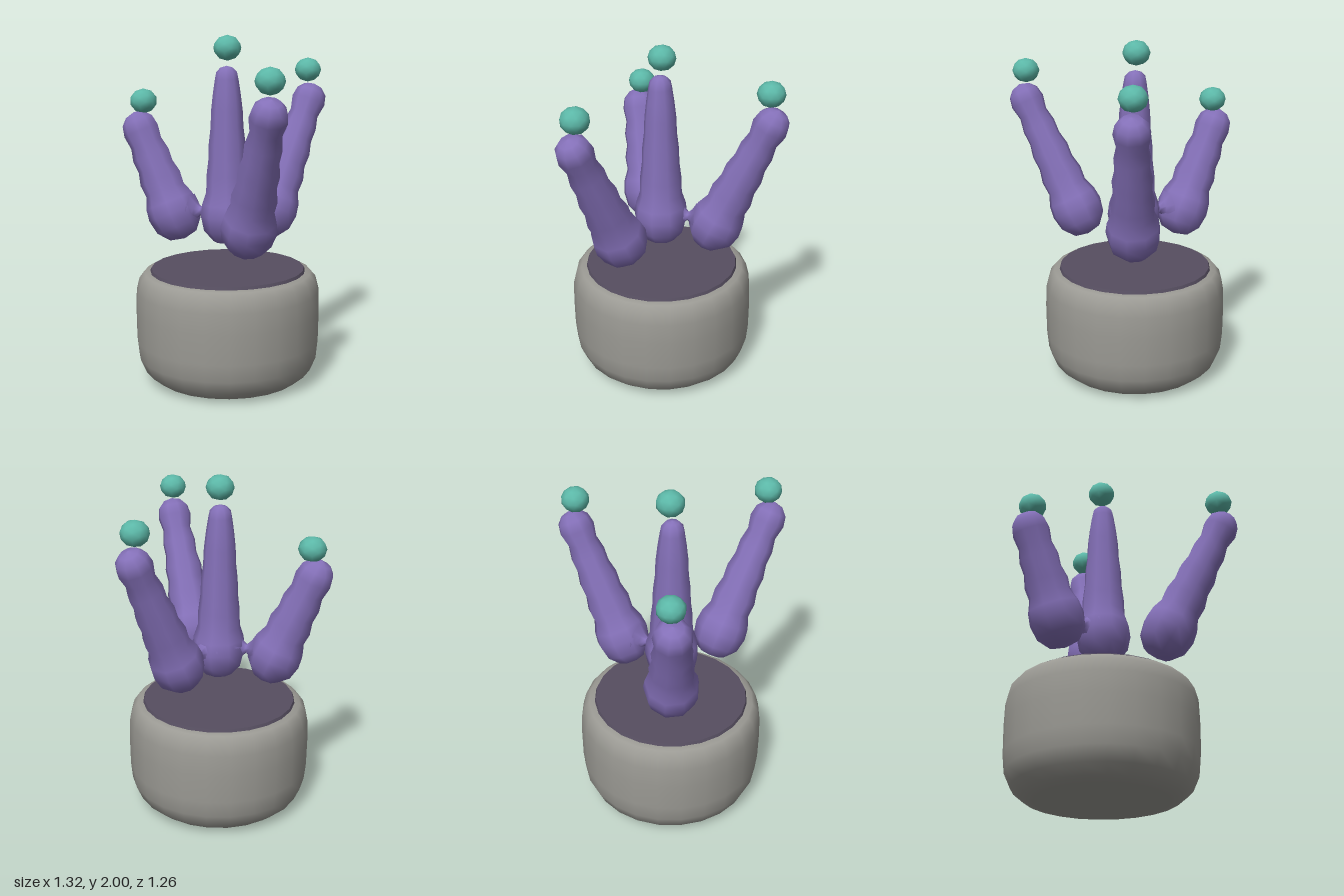
import * as THREE from 'three';

const mat = (color) => new THREE.MeshStandardMaterial({ color });
const UP = new THREE.Vector3(0, 1, 0);
const CX = -0.055, CZ = 0.088; // pot centre

function addMesh(parent, name, geometry, material) {
  const mesh = new THREE.Mesh(geometry, material);
  mesh.name = name;
  parent.add(mesh);
  return mesh;
}

const lathe = (points, sides) =>
  new THREE.LatheGeometry(points.map(([r, y]) => new THREE.Vector2(r, y)), sides);

// Round base, a shaft with swellings, and a rounded tip, along +y from the base centre
function tentacleGeometry(length, tipRadius, neckRadius, lumps, lumpiness) {
  const points = [[0, -0.16], [0.085, -0.14], [0.14, -0.075], [0.157, 0.01], [0.148, 0.08]];
  const start = 0.15, end = length - 0.09;
  const steps = lumps * 2;
  for (let i = 0; i <= steps; i++) {
    const t = i / steps;
    const radius = THREE.MathUtils.lerp(0.127, neckRadius, t);
    points.push([radius * (1 + (i % 2 ? lumpiness : -lumpiness)), start + t * (end - start)]);
  }
  for (const a of [-0.1, 0.5, 1.0, Math.PI / 2]) {
    points.push([tipRadius * Math.max(0, Math.cos(a)), length + tipRadius * Math.sin(a)]);
  }
  points[points.length - 1][0] = 0;
  return lathe(points, 9);
}

// Moves and turns a mesh built along +y so that it runs from a to b
function align(mesh, a, b) {
  mesh.position.copy(a);
  mesh.quaternion.setFromUnitVectors(UP, b.clone().sub(a).normalize());
}

export function createModel() {
  const group = new THREE.Group();
  const potMat = mat(0x9b9a94), soilMat = mat(0x564e60);
  const purple = mat(0x8470b8), teal = mat(0x5cb8a8);

  // Rounded pot
  const pot = addMesh(group, 'pot', lathe([
    [0, 0.005], [0.37, 0.005], [0.43, 0.02], [0.49, 0.07], [0.525, 0.15], [0.535, 0.25],
    [0.537, 0.42], [0.533, 0.54], [0.515, 0.61], [0.485, 0.645], [0.44, 0.653], [0, 0.653],
  ], 24), potMat);
  pot.position.set(CX, 0, CZ);

  // Thin soil disc
  const soil = addMesh(group, 'soil', new THREE.CylinderGeometry(0.445, 0.455, 0.025, 24), soilMat);
  soil.position.set(CX, 0.655, CZ);

  // Tentacles, each with a floating bead above its tip
  const tentacles = [
    { name: 'centre', base: [-0.05, 0.965, 0.09], tip: [-0.055, 1.765, 0.09], r: 0.068, neck: 0.082, lumps: 3, bump: 0.02, bead: [-0.06, 1.932, 0.08] },
    { name: 'right', base: [-0.36, 0.965, 0.22], tip: [-0.55, 1.455, 0.305], r: 0.108, neck: 0.102, lumps: 2, bump: 0.05, bead: [-0.54, 1.62, 0.29] },
    { name: 'left', base: [0.275, 0.965, 0.265], tip: [0.56, 1.61, 0.425], r: 0.103, neck: 0.09, lumps: 3, bump: 0.05, bead: [0.56, 1.79, 0.415] },
    { name: 'back', base: [-0.01, 0.965, -0.24], tip: [0.03, 1.61, -0.535], r: 0.103, neck: 0.09, lumps: 3, bump: 0.05, bead: [0.025, 1.79, -0.53] },
  ];
  const bases = {};
  for (const t of tentacles) {
    const a = new THREE.Vector3(...t.base), b = new THREE.Vector3(...t.tip);
    bases[t.name] = a;
    const geometry = tentacleGeometry(a.distanceTo(b), t.r, t.neck, t.lumps, t.bump);
    align(addMesh(group, t.name + 'Tentacle', geometry, purple), a, b);
    const bead = addMesh(group, t.name + 'Bead', new THREE.IcosahedronGeometry(0.08, 1), teal);
    bead.position.set(...t.bead);
    bead.scale.y = 0.9;
  }

  // Pinched webs joining the centre tentacle to two neighbours
  for (const name of ['right', 'back']) {
    const a = bases.centre.clone(), b = bases[name].clone();
    a.y = b.y = 0.99;
    const d = a.distanceTo(b);
    const web = lathe([[0.1, d * 0.33], [0.05, d * 0.42], [0.025, d * 0.5], [0.05, d * 0.58], [0.1, d * 0.67]], 8);
    align(addMesh(group, name + 'Web', web, purple), a, b);
  }
  return group;
}
